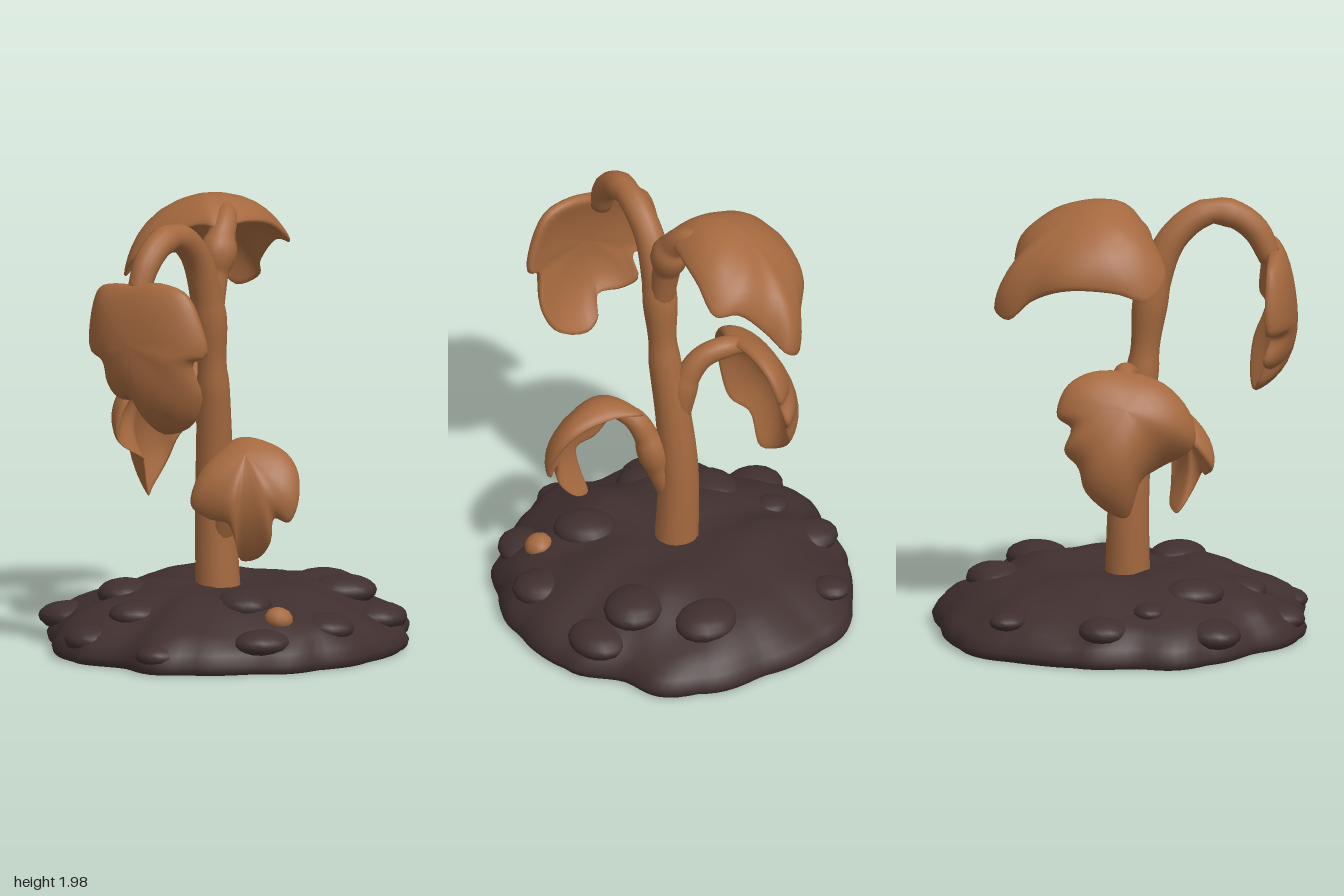
import * as THREE from 'three';

const V = (p) => new THREE.Vector3(...p);
const TAU = Math.PI * 2;

// Closed surface through equal-length rings of points
function skin(name, rings, material) {
  const n = rings[0].length, index = [];
  for (let i = 0; i < rings.length - 1; i++) {
    for (let j = 0; j < n; j++) {
      const a = i * n + j, b = i * n + (j + 1) % n, c = a + n, d = b + n;
      index.push(a, c, b, b, c, d);
    }
  }
  const geo = new THREE.BufferGeometry().setFromPoints(rings.flat());
  geo.setIndex(index);
  geo.computeVertexNormals();
  const mesh = new THREE.Mesh(geo, material);
  mesh.name = name;
  return mesh;
}

// Tapered round limb; each point is [x, y, z, radius]
function limb(name, pts, material, steps = 32, sides = 14) {
  const curve = new THREE.CatmullRomCurve3(pts.map((p) => V(p.slice(0, 3))));
  const radii = new THREE.CatmullRomCurve3(pts.map((p) => new THREE.Vector3(p[3], 0, 0)));
  const { normals, binormals } = curve.computeFrenetFrames(steps);
  const rings = [];
  const ring = (i, k) => {
    const u = i / steps, c = curve.getPointAt(u);
    const r = k * radii.getPoint(curve.getUtoTmapping(u)).x;
    rings.push(Array.from({ length: sides }, (_, j) => c.clone()
      .addScaledVector(normals[i], r * Math.cos(j / sides * TAU))
      .addScaledVector(binormals[i], -r * Math.sin(j / sides * TAU))));
  };
  ring(0, 0);
  for (let i = 0; i <= steps; i++) ring(i, 1);
  ring(steps, 0);
  return skin(name, rings, material);
}

// Thick drooping leaf domed from a crown point out to a lobed rim
function leaf(name, crown, facing, rim, material, thick = 0.06) {
  const C = V(crown), N = V(facing).normalize(), count = 64;
  let edge = new THREE.CatmullRomCurve3(rim.map(V), true, 'centripetal').getPoints(count).slice(0, count);
  const turn = new THREE.Vector3();
  edge.forEach((p, i) => turn.add(p.clone().sub(C).cross(edge[(i + 1) % count].clone().sub(C))));
  if (turn.dot(N) < 0) edge = edge.reverse();
  // The dome follows a softened rim; the lobes only appear towards the edge
  const soft = edge.map((_, i) => {
    const mean = new THREE.Vector3();
    for (let k = -4; k <= 4; k++) mean.addScaledVector(edge[(i + k + count) % count], 1 / 9);
    return mean;
  });
  const domes = soft.map((p) => {
    const d = p.clone().sub(C);
    const control = C.clone().addScaledVector(d.clone().addScaledVector(N, -d.dot(N)), 0.78);
    return new THREE.QuadraticBezierCurve3(C, control, p);
  });
  const steps = [0, 0.15, 0.3, 0.45, 0.6, 0.72, 0.83, 0.91, 0.97, 1];
  const layer = (s, side) => domes.map((c, i) => c.getPoint(s)
    .addScaledVector(edge[i].clone().sub(soft[i]), s * s)
    .addScaledVector(N, side * thick * Math.sqrt(1 - s ** 7)));
  const outer = steps.map((s) => layer(s, 0.25));
  const inner = steps.slice(0, -1).reverse().map((s) => layer(s, -0.75));
  return skin(name, [...outer, ...inner], material);
}

// Uneven mound of soil with a scalloped edge and a flat underside
function soilMound(material) {
  const outline = [0.78, 0.77, 0.78, 0.76, 0.79, 0.82, 0.76, 0.82, 0.8, 0.76, 0.79, 0.81,
    0.76, 0.78, 0.78, 0.83, 0.84, 0.81, 0.81, 0.84, 0.84, 0.76, 0.8, 0.78];
  const radius = new THREE.CatmullRomCurve3(outline.map((r, i) => {
    const a = i / 24 * TAU;
    return new THREE.Vector3(r * Math.cos(a), 0, r * Math.sin(a));
  }), true);
  const edge = radius.getPoints(120).slice(0, 120).reverse();
  edge.forEach((p) => p.multiplyScalar(1 + 0.022 * Math.abs(Math.sin(8 * Math.atan2(p.z, p.x) + 0.6))));
  const profile = [[0, 0.27], [0.12, 0.275], [0.24, 0.285], [0.36, 0.295], [0.46, 0.29],
    [0.56, 0.27], [0.66, 0.24], [0.76, 0.205], [0.85, 0.17], [0.92, 0.135], [0.97, 0.095],
    [1, 0.05], [0.99, 0.02], [0.975, 0.008], [0.975, 0.008], [0, 0.008]];
  return skin('soilMound', profile.map(([k, y]) => edge.map((p) => {
    const x = p.x * k, z = p.z * k;
    const lump = k > 0.15 && k < 0.97 && y > 0.05
      ? 0.014 * Math.sin(9 * x + 2) * Math.cos(8 * z - 1) + 0.01 * Math.sin(17 * z + 6 * x) : 0;
    return new THREE.Vector3(x, y + lump, z);
  })), material);
}

export function createModel() {
  const plant = new THREE.Group();
  plant.name = 'wiltedPlant';
  const brown = new THREE.MeshStandardMaterial({ color: 0xa5693f });
  brown.name = 'witheredBrown';
  const soil = new THREE.MeshStandardMaterial({ color: 0x402f2f });
  soil.name = 'darkSoil';

  // Ground and half-buried, flattened clods: x, y, z, radius
  plant.add(soilMound(soil));
  const clods = [[-0.53, 0.21, 0.1, 0.075], [-0.1, 0.2, 0.5, 0.12], [0.3, 0.255, 0.25, 0.13],
    [0.36, 0.24, -0.36, 0.14], [-0.33, 0.24, 0.3, 0.13], [-0.58, 0.12, 0.38, 0.13],
    [0.2, 0.08, 0.7, 0.11], [0.6, 0.16, 0.05, 0.13], [-0.2, 0.1, 0.66, 0.13],
    [-0.52, 0.17, -0.52, 0.08], [0.1, 0.21, -0.55, 0.14], [0.55, 0.14, -0.38, 0.13],
    [-0.62, 0.15, -0.1, 0.12], [0.53, 0.13, 0.4, 0.12]];
  clods.forEach(([x, y, z, r], i) => {
    const clod = new THREE.Mesh(new THREE.SphereGeometry(r, 16, 10), soil);
    clod.name = 'soilClod';
    clod.position.set(x, y, z);
    clod.scale.set(1.1, 0.5, 0.95);
    clod.rotation.y = i * 1.3;
    plant.add(clod);
  });

  // Loose scrap lying on the soil, and a speck under the top leaf
  const scrap = new THREE.Mesh(new THREE.IcosahedronGeometry(0.064, 1), brown);
  scrap.name = 'fallenScrap';
  scrap.position.set(0.52, 0.22, 0.27);
  scrap.scale.y = 0.8;
  scrap.rotation.z = -0.3;
  const speck = new THREE.Mesh(new THREE.IcosahedronGeometry(0.04, 1), soil);
  speck.name = 'soilSpeck';
  speck.position.set(-0.25, 1.85, -0.27);
  speck.scale.y = 0.7;
  plant.add(scrap, speck);

  // Main stem arching forward, and three side stalks
  plant.add(
    limb('mainStem', [[-0.03, 0.2, 0.02, 0.1], [-0.045, 0.6, 0.025, 0.09], [-0.03, 0.9, 0.05, 0.08],
      [-0.005, 1.2, 0.09, 0.072], [0, 1.55, 0.135, 0.072], [0.005, 1.77, 0.22, 0.066],
      [0.02, 1.88, 0.36, 0.062], [0.025, 1.875, 0.48, 0.062], [0.03, 1.8, 0.585, 0.06],
      [0.03, 1.67, 0.65, 0.05]], brown, 60),
    limb('topStalk', [[0, 1.48, 0.11, 0.055], [-0.01, 1.68, 0.07, 0.062], [-0.015, 1.83, 0.02, 0.062],
      [-0.045, 1.91, -0.05, 0.05], [-0.09, 1.935, -0.1, 0.03]], brown),
    limb('leftStalk', [[-0.02, 0.46, 0.03, 0.05], [0.045, 0.64, 0.05, 0.054], [0.09, 0.8, 0.07, 0.054],
      [0.135, 0.89, 0.1, 0.05], [0.19, 0.92, 0.14, 0.035]], brown),
    limb('rightStalk', [[-0.05, 0.9, 0.04, 0.055], [-0.09, 1.09, 0.03, 0.055], [-0.16, 1.185, 0.02, 0.052],
      [-0.26, 1.22, 0, 0.05], [-0.35, 1.205, 0, 0.035]], brown));

  // Drooping leaves
  plant.add(
    leaf('frontLeaf', [0.07, 1.46, 0.75], [0, 0.1, 1], [[-0.12, 1.7, 0.66], [0.03, 1.715, 0.67],
      [0.17, 1.735, 0.66], [0.3, 1.7, 0.65], [0.37, 1.58, 0.64], [0.4, 1.43, 0.63], [0.34, 1.395, 0.66],
      [0.35, 1.235, 0.6], [0.28, 1.1, 0.58], [0.13, 1.045, 0.59], [0.07, 1.09, 0.61], [0.05, 1.19, 0.66],
      [-0.07, 1.19, 0.65], [-0.14, 1.235, 0.63], [-0.13, 1.35, 0.67], [-0.24, 1.385, 0.64],
      [-0.24, 1.53, 0.64], [-0.19, 1.67, 0.65]], brown, 0.075),
    leaf('leftLeaf', [0.31, 0.92, 0.245], [0.35, 0.7, 0.6], [[0.11, 0.93, 0.07], [0.25, 0.955, 0.08],
      [0.42, 0.92, 0.09], [0.5, 0.84, 0.11], [0.535, 0.71, 0.16], [0.51, 0.64, 0.19], [0.46, 0.66, 0.23],
      [0.44, 0.55, 0.23], [0.36, 0.465, 0.22], [0.29, 0.45, 0.25], [0.31, 0.55, 0.32], [0.3, 0.635, 0.36],
      [0.2, 0.65, 0.38], [0.125, 0.7, 0.4], [0.105, 0.82, 0.32], [0.105, 0.88, 0.2]], brown),
    leaf('rightLeaf', [-0.485, 1.11, 0], [-0.85, 0.5, 0], [[-0.3, 1.24, 0.03], [-0.33, 1.25, -0.15],
      [-0.36, 1.19, -0.26], [-0.39, 1.065, -0.3], [-0.42, 1.02, -0.24], [-0.44, 0.92, -0.27],
      [-0.46, 0.85, -0.21], [-0.49, 0.75, -0.18], [-0.48, 0.64, -0.06], [-0.44, 0.62, 0.01],
      [-0.42, 0.78, 0.07], [-0.36, 0.82, 0.15], [-0.38, 0.92, 0.3], [-0.36, 1.06, 0.29],
      [-0.33, 1.19, 0.18]], brown),
    leaf('topLeaf', [-0.26, 1.945, -0.17], [-0.35, 0.9, -0.25], [[-0.01, 1.88, 0.05], [0.02, 1.89, -0.12],
      [0.02, 1.85, -0.3], [0, 1.75, -0.44], [-0.1, 1.75, -0.47], [-0.22, 1.63, -0.5], [-0.29, 1.54, -0.575],
      [-0.37, 1.5, -0.52], [-0.42, 1.6, -0.42], [-0.51, 1.67, -0.27], [-0.53, 1.66, -0.05],
      [-0.5, 1.61, 0.1], [-0.4, 1.7, 0.18], [-0.25, 1.82, 0.13], [-0.09, 1.89, 0.07]], brown, 0.065));
  return plant;
}
